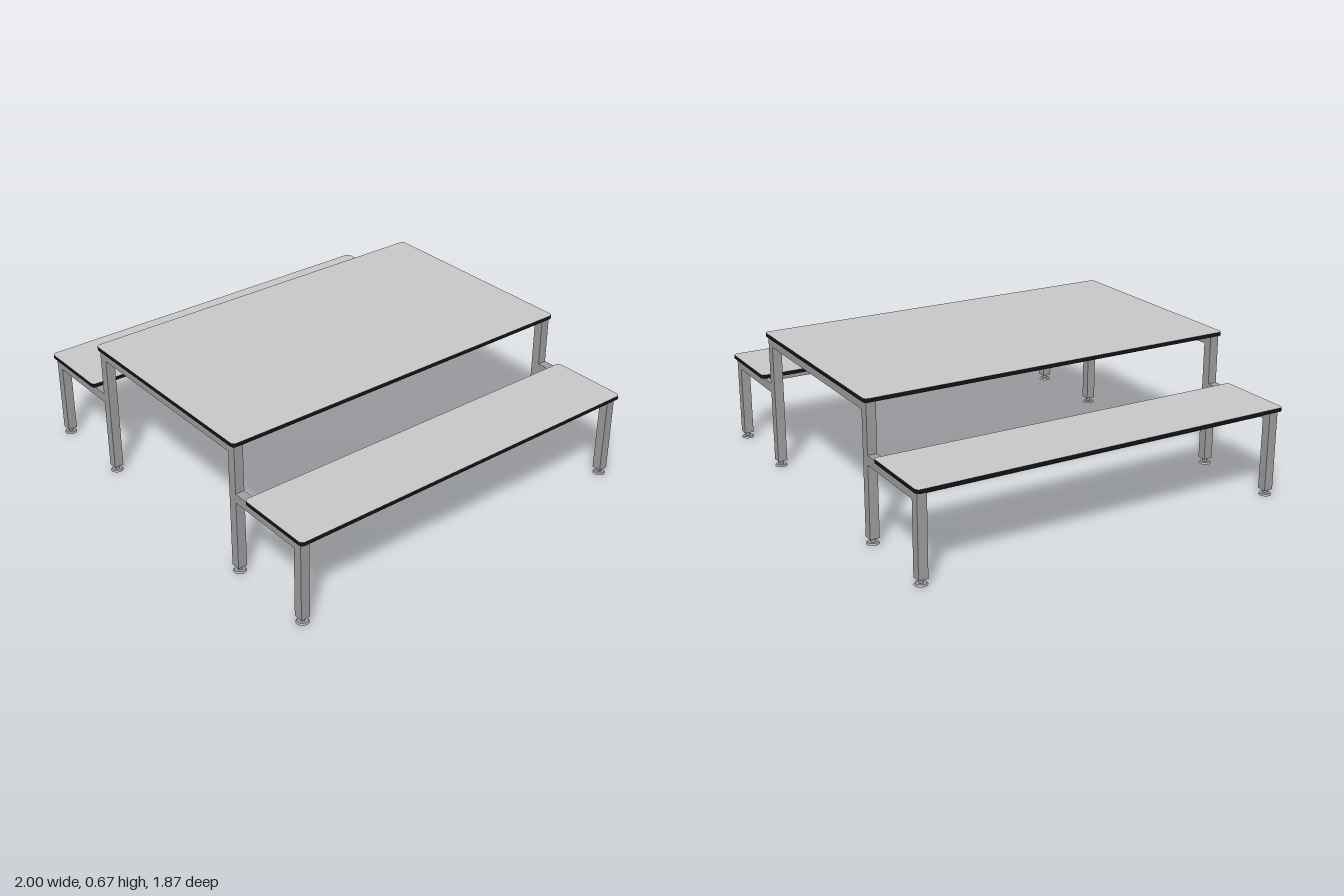
import * as THREE from 'three';

const mat = (name, color) => {
  const m = new THREE.MeshStandardMaterial({ color });
  m.name = name;
  return m;
};

export function createModel() {
  const model = new THREE.Group();
  model.name = 'picnicTable';
  const surface = mat('light grey laminate', 0xc8c8c8);
  const edge = mat('black edging', 0x141414);
  const steel = mat('grey steel', 0x9e9e9e);

  const T = 0.045;      // square tube width
  const END_Z = 0.9;    // z of the end frames
  const TABLE_Y = 0.655, BENCH_Y = 0.418;

  const add = (name, geo, material, x, y, z) => {
    const mesh = new THREE.Mesh(geo, material);
    mesh.name = name;
    mesh.position.set(x, y, z);
    model.add(mesh);
    return mesh;
  };
  const box = (name, w, h, d, x, y, z) =>
    add(name, new THREE.BoxGeometry(w, h, d), steel, x, y, z);

  // Board with rounded corners, grey faces and black rim
  const board = (name, w, d, t, x, y) => {
    const r = 0.02, a = w / 2, b = d / 2;
    const s = new THREE.Shape();
    s.moveTo(-a + r, -b);
    s.lineTo(a - r, -b);
    s.absarc(a - r, -b + r, r, -Math.PI / 2, 0);
    s.lineTo(a, b - r);
    s.absarc(a - r, b - r, r, 0, Math.PI / 2);
    s.lineTo(-a + r, b);
    s.absarc(-a + r, b - r, r, Math.PI / 2, Math.PI);
    s.lineTo(-a, -b + r);
    s.absarc(-a + r, -b + r, r, Math.PI, Math.PI * 1.5);
    const geo = new THREE.ExtrudeGeometry(s, { depth: t, bevelEnabled: false, curveSegments: 6 });
    geo.rotateX(-Math.PI / 2);
    add(name, geo, [surface, edge], x, y, 0);
  };

  // Leg with an adjustable foot
  const leg = (name, x, z, top) => {
    box(name, T, top - 0.028, T, x, (top + 0.028) / 2, z);
    add('footStem', new THREE.CylinderGeometry(0.011, 0.011, 0.026, 16), steel, x, 0.017, z);
    add('footPlate', new THREE.CylinderGeometry(0.024, 0.03, 0.008, 24), steel, x, 0.004, z);
  };

  // Small fixing disc under a board
  const disc = (x, y, z) =>
    add('fixingDisc', new THREE.CylinderGeometry(0.02, 0.02, 0.01, 20), steel, x, y - 0.005, z);

  board('tableTop', 1.09, 1.87, 0.018, 0, TABLE_Y);
  const railLength = 2 * END_Z - T;

  for (const z of [-END_Z, END_Z]) {
    box('tableEndBeam', 1.02 - T, T, T, 0, TABLE_Y - T / 2, z);
    for (const side of [-1, 1]) {
      leg('tableLeg', side * 0.51, z, TABLE_Y);
      leg('benchLeg', side * 0.955, z, BENCH_Y);
      box('benchEndBeam', 0.4, T, T, side * 0.7325, BENCH_Y - T / 2, z);
    }
  }

  for (const side of [-1, 1]) {
    board('benchSeat', 0.39, 1.87, 0.018, side * 0.805, BENCH_Y);
    box('tableRail', T, T, railLength, side * 0.3, TABLE_Y - T / 2, 0);
    for (const x of [0.71, 0.89])
      box('benchRail', T, T, railLength, side * x, BENCH_Y - T / 2, 0);
  }

  for (const z of [-0.8, 0, 0.8]) {
    disc(0.36, TABLE_Y, z);
    disc(0.955, BENCH_Y, z);
    disc(-0.65, BENCH_Y, z);
  }
  return model;
}
